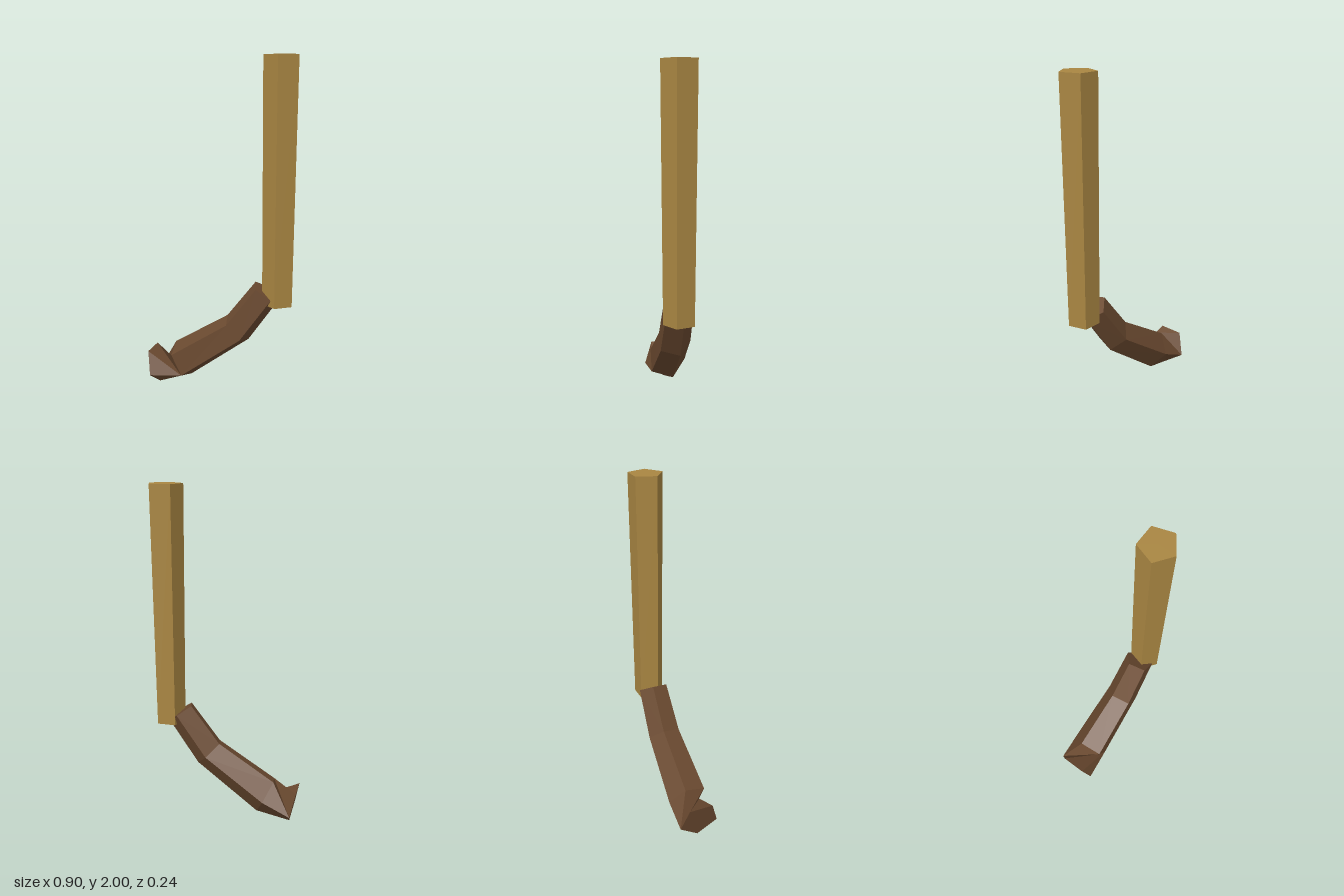
import * as THREE from 'three';

const rad = THREE.MathUtils.degToRad;

// Five-sided cross-section: centre, radius, tilt of its "up" axis, and roll (degrees)
function ring(x, y, radius, tilt, roll) {
  const ux = Math.cos(rad(tilt)), uy = Math.sin(rad(tilt));
  return Array.from({ length: 5 }, (_, k) => {
    const a = rad(roll + 72 * k), u = radius * Math.sin(a);
    return [x + ux * u, y + uy * u, -radius * Math.cos(a)];
  });
}

// Joins successive rings with triangles and caps both ends.
// Quads of the last segment listed in "flipped" use the other diagonal.
function loft(rings, flipped) {
  const pos = [];
  const tri = (...corners) => corners.forEach((p) => pos.push(...p));
  for (let r = 0; r < rings.length - 1; r++) {
    const a = rings[r], b = rings[r + 1], last = r === rings.length - 2;
    for (let i = 0; i < 5; i++) {
      const j = (i + 1) % 5;
      if (last && flipped.includes(i)) {
        tri(b[i], b[j], a[j]);
        tri(b[i], a[j], a[i]);
      } else {
        tri(b[i], b[j], a[i]);
        tri(b[j], a[j], a[i]);
      }
    }
  }
  const first = rings[0], end = rings[rings.length - 1];
  for (let k = 1; k < 4; k++) {
    tri(first[0], first[k], first[k + 1]);
    tri(end[0], end[k + 1], end[k]);
  }
  const geo = new THREE.BufferGeometry();
  geo.setAttribute('position', new THREE.Float32BufferAttribute(pos, 3));
  geo.computeVertexNormals();
  return geo;
}

export function createModel() {
  const group = new THREE.Group();
  const lightWood = new THREE.MeshStandardMaterial({ color: 0xa98642, flatShading: true });
  lightWood.name = 'lightWood';
  const darkWood = new THREE.MeshStandardMaterial({ color: 0x6b4a30, flatShading: true, side: THREE.DoubleSide });
  darkWood.name = 'darkWood';

  // Straight, slightly tapered pentagonal stem
  const stem = new THREE.Mesh(new THREE.CylinderGeometry(0.104, 0.092, 1.41, 5), lightWood);
  stem.name = 'stem';
  stem.position.set(0.348, 1.295, 0);
  group.add(stem);

  // Bent lower piece, ending in a twisted, pinched tip
  const bend = new THREE.Mesh(loft([
    ring(0.277, 0.658, 0.09, 147, 0),
    ring(0.098, 0.41, 0.1, 134, 0),
    ring(-0.255, 0.165, 0.119, 116.6, 0),
    ring(-0.428, 0.125, 0.125, 101.5, -90),
  ], [1, 2]), darkWood);
  bend.name = 'bentEnd';
  group.add(bend);

  return group;
}
